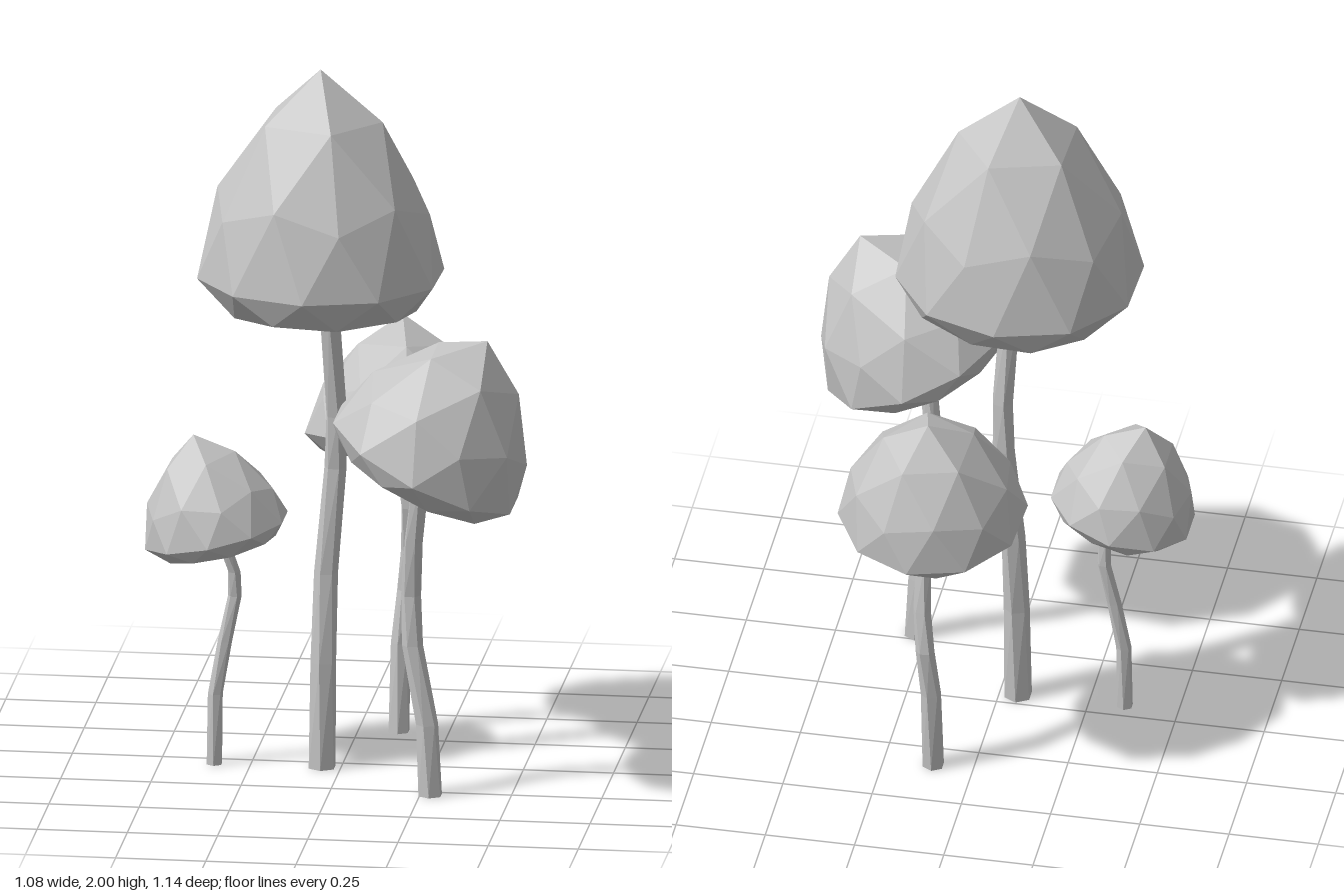
import * as THREE from 'three';

const grey = new THREE.MeshStandardMaterial({ color: 0xc4c4c4, flatShading: true });
grey.name = 'plain grey';

// Cap profile: polar angle in degrees, radius and height as shares of the cap size
const PROFILE = [
  [0, 0, 1], [31.7, 0.51, 0.79], [58.3, 0.85, 0.49], [63.4, 0.9, 0.41],
  [90, 1.02, 0.14], [116.6, 0.87, 0.02], [121.7, 0.79, 0.0], [148.3, 0.47, 0.05], [180, 0, 0.14],
];

function profileAt(angle) {
  let i = 1;
  while (i < PROFILE.length - 1 && angle > PROFILE[i][0]) i++;
  const a = PROFILE[i - 1], b = PROFILE[i];
  const t = THREE.MathUtils.clamp((angle - a[0]) / (b[0] - a[0]), 0, 1);
  return [a[1] + (b[1] - a[1]) * t, a[2] + (b[2] - a[2]) * t];
}

// Faceted ball with a corner on top, drawn up to a point and slightly hollowed below
function capGeometry(radiusX, radiusZ, height, spin) {
  const geo = new THREE.IcosahedronGeometry(1, 1);
  geo.rotateZ(-Math.atan(2 / (1 + Math.sqrt(5))));
  geo.rotateY(spin);
  const pos = geo.attributes.position;
  for (let i = 0; i < pos.count; i++) {
    const x = pos.getX(i), y = pos.getY(i), z = pos.getZ(i);
    const [r, h] = profileAt(THREE.MathUtils.radToDeg(Math.acos(THREE.MathUtils.clamp(y, -1, 1))));
    const d = Math.hypot(x, z);
    const k = d > 1e-4 ? r / d : 0;
    pos.setXYZ(i, x * k * radiusX, h * height, z * k * radiusZ);
  }
  geo.computeVertexNormals();
  return geo;
}

// Six-sided, gently twisted column whose rings follow the path points [x, y, z, radius]
function stemGeometry(path) {
  const n = path.length - 1;
  const geo = new THREE.CylinderGeometry(1, 1, 1, 6, n);
  const pos = geo.attributes.position;
  for (let i = 0; i < pos.count; i++) {
    const k = Math.round((pos.getY(i) + 0.5) * n);
    const [px, py, pz, r] = path[k];
    const x = pos.getX(i), z = pos.getZ(i);
    const c = Math.cos(k * 0.2), s = Math.sin(k * 0.2);
    pos.setXYZ(i, px + r * (x * c - z * s), py, pz + r * (x * s + z * c));
  }
  geo.computeVertexNormals();
  return geo;
}

const MUSHROOMS = [
  {
    name: 'tallMushroom', radius: [0.338, 0.318], height: 0.68, at: [-0.055, 1.32, 0.052], tilt: [0, 0], spin: -0.03,
    stem: [[-0.052, 0, 0.045, 0.04], [-0.05, 0.3, 0.035, 0.036], [-0.045, 0.55, 0.015, 0.033],
      [-0.02, 0.85, 0.005, 0.031], [-0.015, 1.0, 0.015, 0.031], [-0.03, 1.3, 0.05, 0.03], [-0.035, 1.45, 0.05, 0.028]],
  },
  {
    name: 'frontMushroom', radius: [0.282, 0.278], height: 0.45, at: [0.238, 0.905, 0.285], tilt: [0, -0.46], spin: 0,
    stem: [[0.278, 0, 0.278, 0.035], [0.268, 0.2, 0.268, 0.031], [0.225, 0.42, 0.248, 0.029],
      [0.22, 0.56, 0.238, 0.028], [0.23, 0.72, 0.26, 0.027], [0.25, 0.88, 0.28, 0.026], [0.262, 0.97, 0.285, 0.024]],
  },
  {
    name: 'backMushroom', radius: [0.257, 0.25], height: 0.39, at: [0.115, 0.797, -0.31], tilt: [-0.21, 0], spin: -0.1,
    stem: [[0.112, 0, -0.33, 0.031], [0.115, 0.25, -0.348, 0.028], [0.13, 0.4, -0.357, 0.026],
      [0.142, 0.52, -0.335, 0.025], [0.145, 0.65, -0.305, 0.024], [0.125, 0.79, -0.307, 0.023], [0.12, 0.86, -0.32, 0.022]],
  },
  {
    name: 'smallMushroom', radius: [0.201, 0.194], height: 0.325, at: [-0.334, 0.624, 0.05], tilt: [0, 0.23], spin: 0,
    stem: [[-0.35, 0, 0.05, 0.023], [-0.348, 0.2, 0.045, 0.021], [-0.322, 0.35, 0.04, 0.02],
      [-0.295, 0.48, 0.035, 0.019], [-0.296, 0.55, 0.04, 0.019], [-0.322, 0.63, 0.05, 0.018], [-0.335, 0.68, 0.05, 0.017]],
  },
];

export function createModel() {
  const model = new THREE.Group();
  model.name = 'mushroomCluster';
  for (const m of MUSHROOMS) {
    const group = new THREE.Group();
    group.name = m.name;
    const cap = new THREE.Mesh(capGeometry(...m.radius, m.height, m.spin), grey);
    cap.name = 'cap';
    cap.position.set(...m.at);
    cap.rotation.set(m.tilt[0], 0, m.tilt[1]);
    const stem = new THREE.Mesh(stemGeometry(m.stem), grey);
    stem.name = 'stem';
    group.add(cap, stem);
    model.add(group);
  }
  return model;
}
